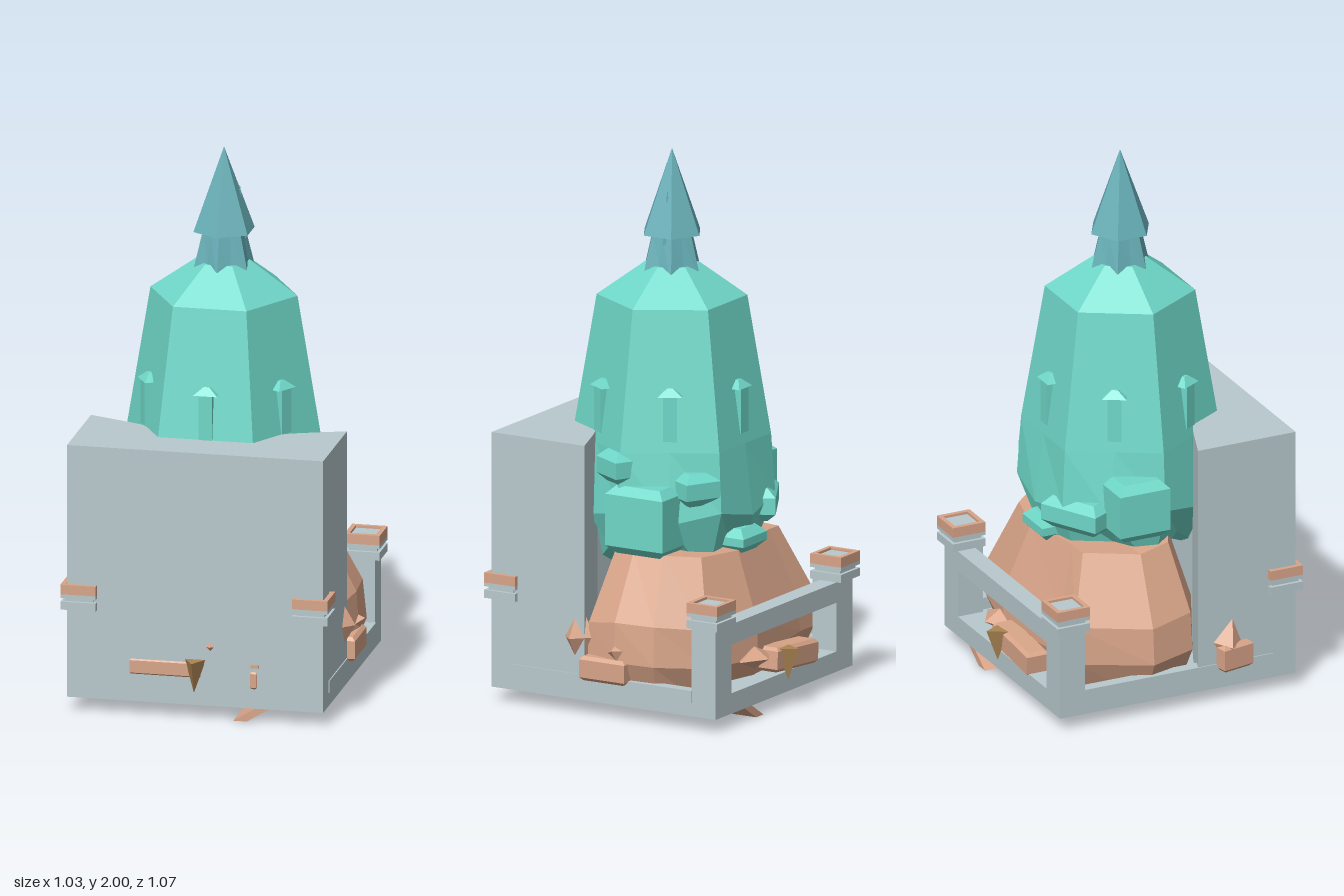
import * as THREE from 'three';

const mat = (name, color, double) => {
  const m = new THREE.MeshStandardMaterial({ color, flatShading: true });
  m.name = name;
  if (double) m.side = THREE.DoubleSide;
  return m;
};

// Skin a stack of closed rings (bottom to top), capped at both ends
function loft(rings) {
  const p = [];
  const n = rings[0].length;
  const mid = r => r.reduce((s, v) => s.map((c, i) => c + v[i] / n), [0, 0, 0]);
  const tri = (a, b, c) => p.push(...a, ...b, ...c);
  for (let k = 0; k < rings.length - 1; k++) {
    const a = rings[k], b = rings[k + 1];
    for (let i = 0; i < n; i++) {
      const j = (i + 1) % n;
      tri(a[i], b[i], b[j]);
      tri(a[i], b[j], a[j]);
    }
  }
  const lo = rings[0], hi = rings[rings.length - 1], cl = mid(lo), ch = mid(hi);
  for (let i = 0; i < n; i++) {
    const j = (i + 1) % n;
    tri(cl, lo[i], lo[j]);
    tri(ch, hi[j], hi[i]);
  }
  const g = new THREE.BufferGeometry();
  g.setAttribute('position', new THREE.Float32BufferAttribute(p, 3));
  g.computeVertexNormals();
  return g;
}

// Hexagon ring with mid-edge points; odd points may be shifted in height and radius
const hexRing = (y, R, dyOdd = 0, kOdd = 1, turn = 0) => Array.from({ length: 12 }, (_, i) => {
  const a = i * Math.PI / 6 + turn, odd = i % 2;
  const r = odd ? R * 0.866 * kOdd : R;
  return [r * Math.cos(a), y + (odd ? dyOdd : 0), r * Math.sin(a)];
});

// Box with bevelled top and bottom
function chamferBox(w, h, d, c) {
  const ring = (y, s) => [[1, -1], [1, 1], [-1, 1], [-1, -1]]
    .map(([x, z]) => [x * (w / 2 - s), y, z * (d / 2 - s)]);
  return loft([ring(-h / 2, c), ring(-h / 2 + c, 0), ring(h / 2 - c, 0), ring(h / 2, c)]);
}

export function createModel() {
  const model = new THREE.Group();
  const stone = mat('pale grey stone', 0xb9c9cd);
  const clay = mat('clay', 0xd9a589, true);
  const teal = mat('teal', 0x6fd8c9);
  const blue = mat('blue teal', 0x68b0b8);
  const horn = mat('tan horn', 0xab8452);

  const add = (name, geo, material, pos = [0, 0, 0], rot = [0, 0, 0], parent = model) => {
    const m = new THREE.Mesh(geo, material);
    m.name = name;
    m.position.set(...pos);
    m.rotation.set(...rot);
    parent.add(m);
    return m;
  };
  const box = (name, material, w, h, d, pos, rot) =>
    add(name, new THREE.BoxGeometry(w, h, d), material, pos, rot);

  // Floor and low side walls
  box('floor', stone, 0.94, 0.05, 0.94, [0, 0.075, 0]);
  for (const s of [-1, 1]) {
    box('sideWall', stone, 0.04, 0.045, 0.6, [s * 0.45, 0.1225, -0.15]);
    box('sideRail', stone, 0.008, 0.045, 0.75, [s * 0.47, 0.1225, 0.005]);
  }

  // Tall front block with a notch behind for the tower
  const plan = new THREE.Shape([[-0.47, -0.47], [0.47, -0.47], [0.47, -0.08], [0.31, -0.14],
    [0.2, -0.19], [-0.2, -0.19], [-0.31, -0.14], [-0.47, -0.08]].map(p => new THREE.Vector2(...p)));
  const block = new THREE.ExtrudeGeometry(plan, { depth: 0.94, bevelEnabled: false });
  block.rotateX(-Math.PI / 2);
  add('frontBlock', block, stone, [0, 0.05, 0]);

  // Back wall with a wide opening
  for (const s of [-1, 1]) box('backPost', stone, 0.11, 0.33, 0.1, [s * 0.415, 0.215, -0.42]);
  box('backLintel', stone, 0.72, 0.075, 0.07, [0, 0.3425, -0.435]);
  box('backSill', stone, 0.72, 0.03, 0.1, [0, 0.11, -0.42]);

  // Corner caps: slab, neck, slab and a clay rim around a grey centre
  const square = h => [[-h, -h], [h, -h], [h, h], [-h, h]].map(p => new THREE.Vector2(...p));
  const rim = new THREE.Shape(square(0.065));
  rim.holes.push(new THREE.Path(square(0.048)));
  const rimGeo = new THREE.ExtrudeGeometry(rim, { depth: 0.037, bevelEnabled: false });
  rimGeo.rotateX(-Math.PI / 2);
  for (const sx of [-1, 1]) for (const sz of [-1, 1]) {
    const x = sx * 0.425, z = sz * 0.425;
    box('capLowerSlab', stone, 0.13, 0.03, 0.13, [x, 0.395, z]);
    box('capNeck', stone, 0.105, 0.02, 0.105, [x, 0.415, z]);
    box('capUpperSlab', stone, 0.13, 0.014, 0.13, [x, 0.43, z]);
    box('capCentre', stone, 0.096, 0.028, 0.096, [x, 0.45, z]);
    add('capRim', rimGeo, clay, [x, 0.436, z]);
  }

  // Faceted rock mound
  const outline = [[0.5, -0.05], [0.46, 0.08], [0.31, 0.14], [-0.31, 0.14], [-0.45, 0.08], [-0.5, -0.1],
    [-0.38, -0.37], [-0.28, -0.39], [0.1, -0.43], [0.36, -0.37], [0.5, -0.22]];
  const rockRing = (y, k, wob) => outline.map(([x, z], i) => {
    const f = k * (1 + wob * Math.sin(i * 2.4));
    return [x * f, y + wob * 0.5 * Math.cos(i * 1.9), -0.06 + (z + 0.06) * f];
  });
  add('rockMound', loft([rockRing(0.047, 0.82, 0), rockRing(0.2, 0.97, 0.02),
    rockRing(0.34, 0.95, 0.03), rockRing(0.58, 0.7, 0.02)]), clay);

  // Loose stones and bars around the rock
  const stoneBar = (w, h, d, pos, rot) => add('stoneBar', chamferBox(w, h, d, 0.012), clay, pos, rot);
  stoneBar(0.1, 0.09, 0.19, [0.45, 0.175, -0.01]);
  stoneBar(0.08, 0.1, 0.13, [-0.465, 0.17, 0.22], [0, 0.2, 0]);
  stoneBar(0.28, 0.09, 0.09, [-0.08, 0.17, -0.435], [0, 0, 0.08]);
  stoneBar(0.26, 0.07, 0.06, [-0.11, 0.18, 0.445]);
  stoneBar(0.025, 0.075, 0.03, [0.215, 0.155, 0.462]);
  box('pillarCap', clay, 0.03, 0.012, 0.03, [0.22, 0.208, 0.462]);
  const gem = new THREE.OctahedronGeometry(1);
  const shard = (s, pos, rot) => add('shard', gem, clay, pos, rot).scale.set(...s);
  shard([0.025, 0.025, 0.02], [0.055, 0.27, 0.462]);
  shard([0.09, 0.09, 0.1], [0.42, 0.23, -0.06], [0.2, 0, 0.3]);
  shard([0.07, 0.12, 0.07], [0.44, 0.28, 0.12]);
  shard([0.07, 0.12, 0.09], [-0.445, 0.22, 0.2], [0.2, 0, 0.1]);
  shard([0.1, 0.04, 0.06], [0.12, 0.2, -0.42]);

  // Hanging horns on front and back
  const hornGeo = new THREE.ConeGeometry(0.045, 0.12, 3);
  hornGeo.rotateX(Math.PI);
  hornGeo.rotateY(Math.PI);
  for (const s of [1, -1]) {
    // point one edge of the horn outward
    add('horn', hornGeo, horn, [0, 0.16, s * 0.488], [0, s > 0 ? 0 : Math.PI, 0]);
  }

  // Hexagonal tower with a ragged lower hem
  add('tower', loft([hexRing(0.47, 0.27, 0.1, 1.05), hexRing(0.73, 0.37, -0.04, 1.06),
    hexRing(0.95, 0.355), hexRing(1.46, 0.27), hexRing(1.58, 0.1)]), teal);

  // Hooded pegs, one per tower face
  for (let i = 0; i < 6; i++) {
    const g = new THREE.Group();
    g.name = 'hoodedPeg';
    g.rotation.y = i * Math.PI / 3;
    model.add(g);
    add('peg', new THREE.BoxGeometry(0.05, 0.17, 0.04), teal, [0, 1.075, 0.285], [0, 0, 0], g);
    const hood = new THREE.CylinderGeometry(0.012, 0.05, 0.028, 4, 1);
    hood.rotateY(Math.PI / 4);
    hood.scale(1.25, 1, 0.9);
    add('pegHood', hood, teal, [0, 1.169, 0.278], [0, 0, 0], g);
  }

  // Bevelled bulges around the tower's foot
  const bulge = (w, h, d, pos, ry = 0) => add('bulge', chamferBox(w, h, d, 0.03), teal, pos, [0, ry, 0]);
  bulge(0.18, 0.25, 0.24, [0.295, 0.705, -0.075]);
  bulge(0.17, 0.22, 0.2, [-0.315, 0.75, -0.095]);
  bulge(0.24, 0.12, 0.14, [-0.18, 0.7, -0.25], 0.5);
  bulge(0.14, 0.12, 0.14, [0.21, 0.82, -0.22], -0.5);
  bulge(0.16, 0.09, 0.12, [0, 0.6, -0.29]);
  bulge(0.1, 0.12, 0.14, [0.32, 0.89, 0.03], -0.5);

  // Spire: ragged collar, pointed roof and a small thorn
  const T = Math.PI / 6;
  add('spireCollar', loft([hexRing(1.53, 0.12, 0.05, 0.85, T), hexRing(1.69, 0.08, 0, 1, T)]), blue);
  add('spireRoof', new THREE.ConeGeometry(0.115, 0.31, 6), blue, [0, 1.845, 0]);
  add('spireThorn', new THREE.ConeGeometry(0.025, 0.2, 4), blue, [0.055, 1.76, -0.015]);

  // Underside: slanted clay strip and small feet
  const strip = new THREE.Shape([[0.14, 0], [0.19, 0], [0.27, 0.05], [0.22, 0.05]]
    .map(p => new THREE.Vector2(...p)));
  add('underStrip', new THREE.ExtrudeGeometry(strip, { depth: 0.94, bevelEnabled: false }), clay, [0, 0, -0.47]);
  for (const [x, z, r] of [[-0.13, 0.23, 0.07], [0.065, -0.2, 0.085]])
    add('foot', new THREE.CylinderGeometry(r * 0.35, r, 0.05, 8), stone, [x, 0.025, z]);

  return model;
}
